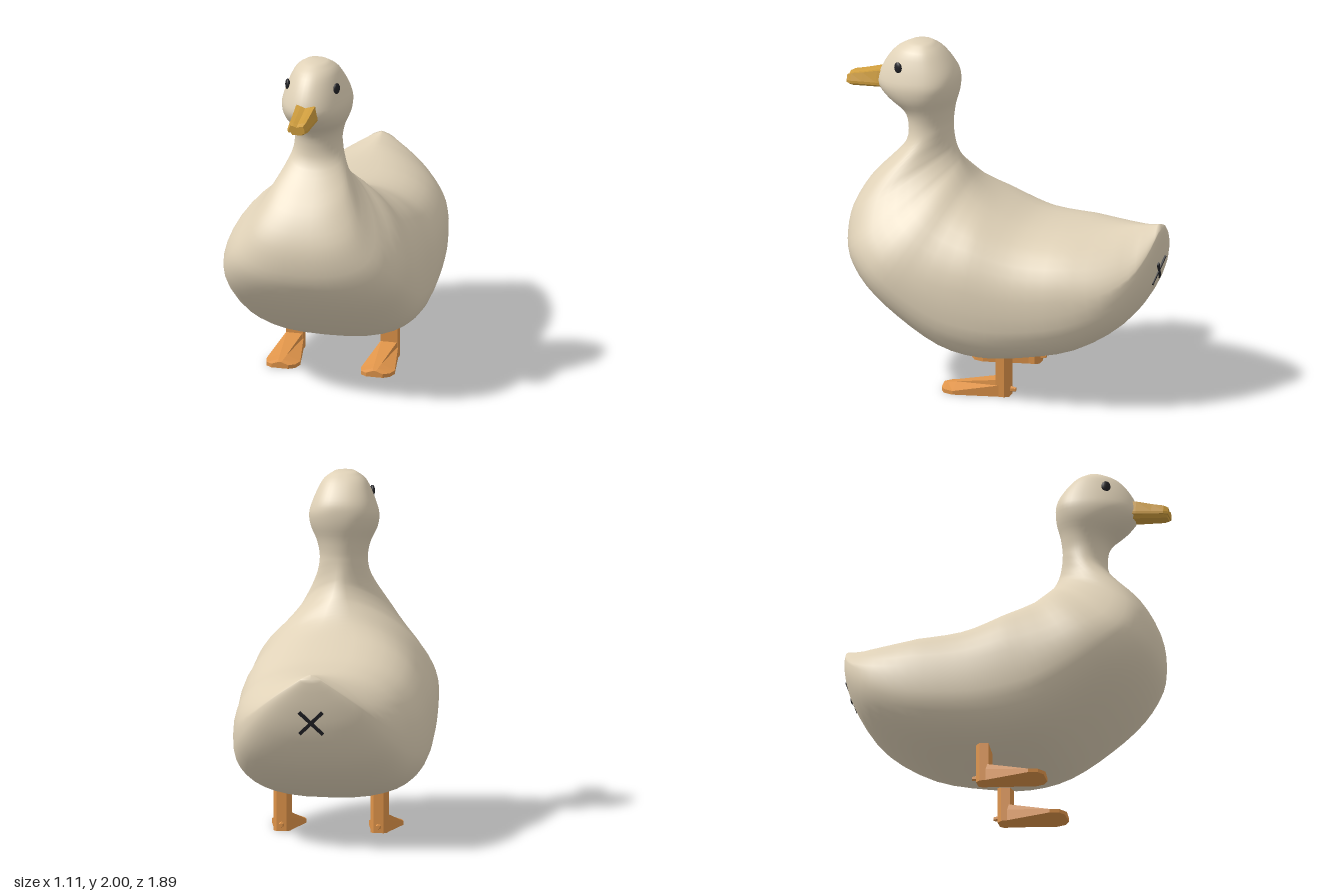
import * as THREE from 'three';

const plumage = new THREE.MeshStandardMaterial({ color: 0xe0d2b8 });
plumage.name = 'plumage';
const beakYellow = new THREE.MeshStandardMaterial({ color: 0xcd9c3d });
beakYellow.name = 'beakYellow';
const footOrange = new THREE.MeshStandardMaterial({ color: 0xde9349 });
footOrange.name = 'footOrange';
const black = new THREE.MeshStandardMaterial({ color: 0x222226 });
black.name = 'black';

// Skin a list of rings (arrays of Vector3, counter-clockwise seen from the end) and cap both ends
function loft(rings, flat) {
  const n = rings[0].length, last = rings.length - 1;
  const pos = [], idx = [];
  rings.forEach(r => r.forEach(p => pos.push(p.x, p.y, p.z)));
  const id = (i, j) => i * n + (j % n);
  for (let i = 0; i < last; i++) {
    for (let j = 0; j < n; j++) {
      const a = id(i, j), b = id(i, j + 1), c = id(i + 1, j + 1), d = id(i + 1, j);
      idx.push(a, b, c, a, c, d);
    }
  }
  for (const i of [0, last]) {
    const c = new THREE.Vector3();
    rings[i].forEach(p => c.addScaledVector(p, 1 / n));
    const k = pos.length / 3;
    pos.push(c.x, c.y, c.z);
    for (let j = 0; j < n; j++) {
      if (i === 0) idx.push(k, id(i, j + 1), id(i, j));
      else idx.push(k, id(i, j), id(i, j + 1));
    }
  }
  let g = new THREE.BufferGeometry();
  g.setAttribute('position', new THREE.Float32BufferAttribute(pos, 3));
  g.setIndex(idx);
  if (flat) g = g.toNonIndexed();
  g.computeVertexNormals();
  return g;
}

function add(parent, name, geometry, material) {
  const m = new THREE.Mesh(geometry, material);
  m.name = name;
  parent.add(m);
  return m;
}

// Sections fanning from tail to crown: back z, back y, belly z, belly y, half width
const SECTIONS = [
  [-0.925, 1.04, -0.945, 0.99, 0.06],
  [-0.88, 1.03, -0.93, 0.82, 0.205],
  [-0.8, 1.02, -0.88, 0.64, 0.335],
  [-0.65, 1.0, -0.75, 0.45, 0.447],
  [-0.45, 0.995, -0.5, 0.29, 0.51],
  [-0.2, 1.01, -0.2, 0.215, 0.54],
  [-0.02, 1.07, 0.05, 0.19, 0.555],
  [0.1, 1.13, 0.3, 0.24, 0.557],
  [0.18, 1.19, 0.55, 0.39, 0.55],
  [0.23, 1.25, 0.75, 0.56, 0.528],
  [0.263, 1.3, 0.87, 0.72, 0.455],
  [0.285, 1.34, 0.9, 0.86, 0.37],
  [0.3, 1.38, 0.88, 1.0, 0.295],
  [0.31, 1.42, 0.8, 1.15, 0.225],
  [0.317, 1.46, 0.68, 1.28, 0.175],
  [0.32, 1.5, 0.59, 1.39, 0.146],
  [0.32, 1.54, 0.58, 1.5, 0.138],
  [0.31, 1.62, 0.61, 1.58, 0.155],
  [0.29, 1.7, 0.7, 1.65, 0.19],
  [0.285, 1.77, 0.76, 1.72, 0.2],
  [0.295, 1.83, 0.755, 1.79, 0.184],
  [0.335, 1.895, 0.71, 1.88, 0.154],
  [0.39, 1.955, 0.65, 1.95, 0.118],
  [0.45, 1.995, 0.57, 1.995, 0.06],
];

// Section shape by section number: height of the widest point, lower and upper roundness
const SHAPES = [
  [0, 0.4, 2.3, 1.2], [2, 0.42, 2.4, 1.45], [4, 0.45, 2.6, 2.4], [6.5, 0.44, 2.8, 2.4], [8, 0.37, 2.6, 1.9],
  [10, 0.29, 2.5, 1.6], [12, 0.29, 2.5, 1.6], [14, 0.4, 2.2, 1.8], [17, 0.5, 2, 2], [19, 0.6, 2, 2.3], [23, 0.6, 2, 2.3],
];

function shapeAt(t) {
  const k = Math.max(1, SHAPES.findIndex(s => s[0] >= t));
  const a = SHAPES[k - 1], b = SHAPES[k];
  const f = (t - a[0]) / (b[0] - a[0]);
  return [1, 2, 3].map(c => THREE.MathUtils.lerp(a[c], b[c], f));
}

function bodyGeometry() {
  const back = new THREE.CatmullRomCurve3(SECTIONS.map(s => new THREE.Vector3(s[4], s[1], s[0])), false, 'catmullrom', 0.5);
  const belly = new THREE.CatmullRomCurve3(SECTIONS.map(s => new THREE.Vector3(0, s[3], s[2])), false, 'catmullrom', 0.5);
  const steps = (SECTIONS.length - 1) * 3, sides = 40, rings = [];
  for (let i = 0; i <= steps; i++) {
    const T = back.getPoint(i / steps), B = belly.getPoint(i / steps);
    const w = T.x;
    const [mid, low, high] = shapeAt(i / 3);
    const ring = [];
    for (let j = 0; j < sides; j++) {
      const a = (j / sides) * Math.PI * 2, c = Math.cos(a), s = Math.sin(a);
      const e = 2 / (s >= 0 ? high : low);
      const x = w * Math.sign(c) * Math.abs(c) ** e;
      const v = mid + Math.sign(s) * Math.abs(s) ** e * (s >= 0 ? 1 - mid : mid);
      ring.push(new THREE.Vector3(x, B.y + (T.y - B.y) * v, B.z + (T.z - B.z) * v));
    }
    rings.push(ring);
  }
  return loft(rings, false);
}

// Rings across z from rows, each row turned into a list of [x, y] corners
const crossSections = (rows, corners) =>
  rows.map(r => corners(...r.slice(1)).map(([x, y]) => new THREE.Vector3(x, y, r[0])));

function addBeak(duck) {
  const beak = new THREE.Group();
  beak.name = 'beak';
  duck.add(beak);
  // upper bill has a shallow groove along its top
  const upper = crossSections([
    [0.68, 0.07, 1.72, 1.805], [0.76, 0.07, 1.715, 1.798], [0.85, 0.064, 1.71, 1.775],
    [0.92, 0.06, 1.705, 1.76], [0.945, 0.048, 1.705, 1.748],
  ], (w, y0, y1) => [
    [-w, y0], [w, y0], [w, y0 + 0.015], [w * 0.78, y1], [w * 0.4, y1 - 0.003],
    [0, y1 - 0.01], [-w * 0.4, y1 - 0.003], [-w * 0.78, y1], [-w, y0 + 0.015],
  ]);
  add(beak, 'upperBill', loft(upper, true), beakYellow);
  const lower = crossSections([
    [0.68, 0.06, 1.7, 1.725], [0.8, 0.06, 1.695, 1.718], [0.91, 0.053, 1.688, 1.708], [0.938, 0.04, 1.69, 1.708],
  ], (w, y0, y1) => [[-w * 0.7, y0], [w * 0.7, y0], [w, y1], [-w, y1]]);
  add(beak, 'lowerBill', loft(lower, true), beakYellow);
}

function addLeg(duck, side) {
  const leg = new THREE.Group();
  leg.name = side > 0 ? 'leftLeg' : 'rightLeg';
  leg.position.x = side * 0.28;
  duck.add(leg);

  // shank: flat in front, chamfered behind
  const outline = [[0.05, -0.042], [0.05, -0.095], [0.03, -0.12], [-0.03, -0.12], [-0.05, -0.095], [-0.05, -0.042]];
  const shank = [0, 0.25].map(y => outline.map(([x, z]) => new THREE.Vector3(x, y, z)));
  add(leg, 'shank', loft(shank, true), footOrange);

  // webbed foot: half width, side height, ridge height, ridge half width
  const foot = crossSections([
    [-0.06, 0.05, 0.068, 0.102, 0.048], [0.2, 0.1, 0.022, 0.053, 0.02],
    [0.255, 0.085, 0.022, 0.043, 0.014], [0.28, 0.05, 0.022, 0.037, 0.008],
  ], (w, h, top, t) => [[-w, 0], [w, 0], [w, h], [t, top], [-t, top], [-w, h]]);
  add(leg, 'foot', loft(foot, true), footOrange);

  // small hind toe
  const toe = new THREE.CylinderGeometry(0.012, 0.022, 0.06, 6).toNonIndexed();
  toe.rotateX(-Math.PI / 2);
  toe.computeVertexNormals();
  add(leg, 'hindToe', toe, footOrange).position.set(0, 0.038, -0.12);
}

export function createModel() {
  const duck = new THREE.Group();
  duck.name = 'duck';

  add(duck, 'body', bodyGeometry(), plumage);
  addBeak(duck);

  for (const side of [1, -1]) {
    addLeg(duck, side);
    const eye = add(duck, side > 0 ? 'leftEye' : 'rightEye', new THREE.SphereGeometry(1, 16, 12), black);
    eye.scale.set(0.014, 0.033, 0.026);
    eye.position.set(side * 0.145, 1.867, 0.604);
    eye.rotation.y = -side * 0.4;
  }

  // crossed mark under the tail
  const mark = new THREE.Group();
  mark.name = 'tailMark';
  mark.position.set(0, 0.757, -0.919);
  mark.rotation.x = -0.26;
  duck.add(mark);
  for (const side of [1, -1]) {
    add(mark, 'markStroke', new THREE.BoxGeometry(0.19, 0.02, 0.0095), black).rotation.z = side * Math.PI / 4;
  }
  return duck;
}
